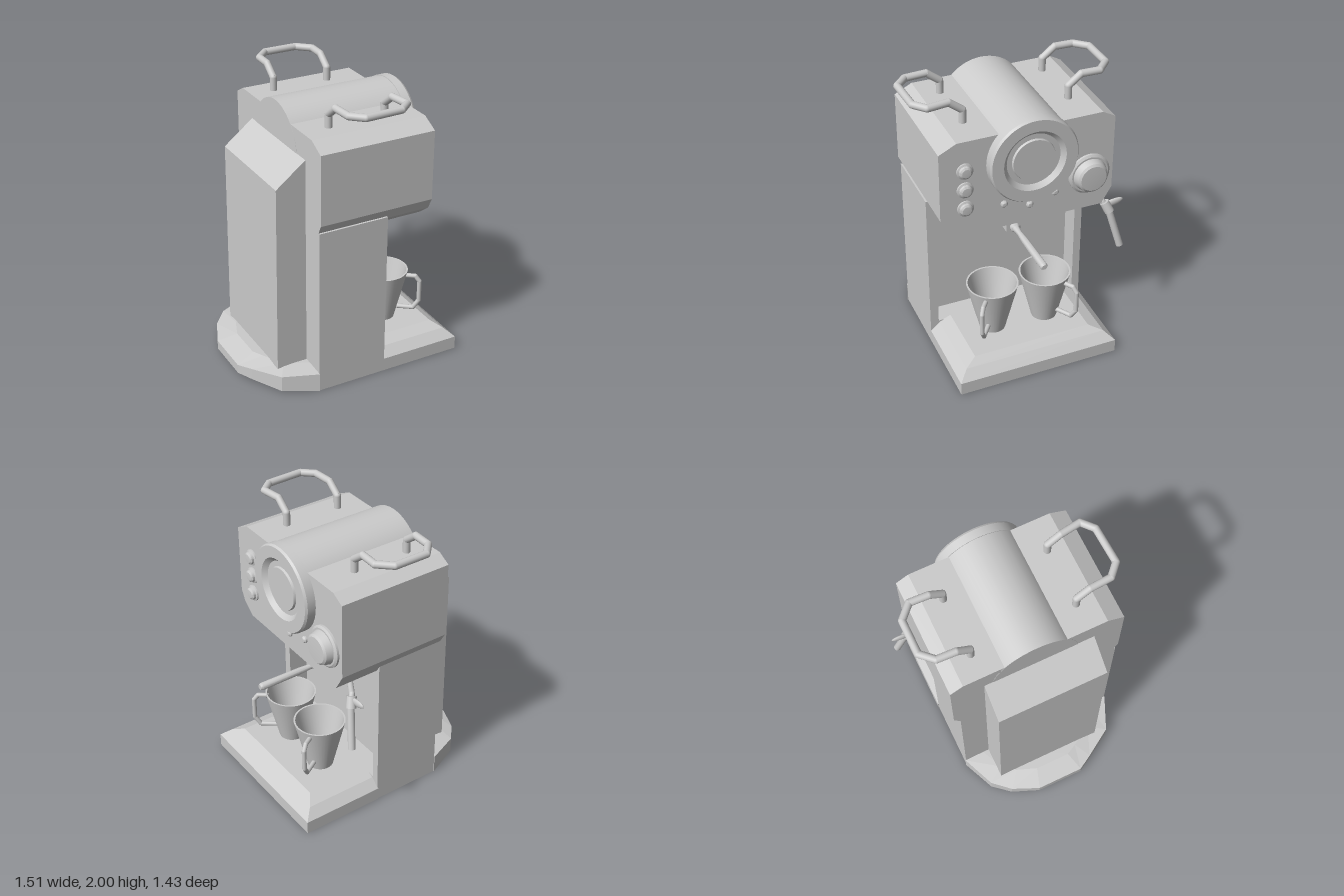
import * as THREE from 'three';
import { toCreasedNormals } from 'three/addons/utils/BufferGeometryUtils.js';

const grey = new THREE.MeshStandardMaterial({ color: 0xcccccc });
const greyDouble = new THREE.MeshStandardMaterial({ color: 0xcccccc, side: THREE.DoubleSide });
const V = (x, y, z) => new THREE.Vector3(x, y, z);

export function createModel() {
  const model = new THREE.Group();

  const add = (name, geo, parent = model, mat = grey) => {
    const mesh = new THREE.Mesh(geo, mat);
    mesh.name = name;
    parent.add(mesh);
    return mesh;
  };
  const box = (name, x0, x1, y0, y1, z0, z1) =>
    add(name, new THREE.BoxGeometry(x1 - x0, y1 - y0, z1 - z0))
      .position.set((x0 + x1) / 2, (y0 + y1) / 2, (z0 + z1) / 2);

  // Extrude a [z, y] outline along x
  const outline = (pts, C = THREE.Shape) => new C(pts.map(([z, y]) => new THREE.Vector2(-z, y)));
  const extrudeX = (name, pts, x0, x1, hole) => {
    const shape = outline(pts);
    if (hole) shape.holes.push(outline(hole, THREE.Path));
    const geo = new THREE.ExtrudeGeometry(shape, { depth: x1 - x0, bevelEnabled: false });
    geo.rotateY(Math.PI / 2).translate(x0, 0, 0);
    return add(name, geo);
  };

  // Revolve a [radius, x] profile about an axis along x
  const turnX = (name, profile, y, z, seg = 32) => {
    const geo = new THREE.LatheGeometry(profile.map(([r, h]) => new THREE.Vector2(r, h)), seg);
    geo.rotateZ(-Math.PI / 2);
    const mesh = add(name, toCreasedNormals(geo, 0.5));
    mesh.position.set(0, y, z);
    return mesh;
  };

  // Stack of closed rings with end caps, flat faces
  const loft = (name, rings) => {
    const n = rings[0].length, pos = [];
    const tri = (...ps) => ps.forEach(p => pos.push(...p));
    for (let k = 0; k + 1 < rings.length; k++) {
      const a = rings[k], b = rings[k + 1];
      for (let i = 0; i < n; i++) {
        const j = (i + 1) % n;
        tri(a[i], a[j], b[j]);
        tri(a[i], b[j], b[i]);
      }
    }
    const lo = rings[0], hi = rings[rings.length - 1];
    for (let i = 1; i + 1 < n; i++) {
      tri(hi[0], hi[i], hi[i + 1]);
      tri(lo[0], lo[i + 1], lo[i]);
    }
    const geo = new THREE.BufferGeometry();
    geo.setAttribute('position', new THREE.Float32BufferAttribute(pos, 3));
    geo.computeVertexNormals();
    return add(name, geo);
  };

  // Bent rod: straight pieces with rounded elbows
  const rod = (name, pts, r, parent = model) => {
    const g = new THREE.Group();
    g.name = name;
    parent.add(g);
    pts.forEach((p, i) => {
      if (i > 0 && i < pts.length - 1) add('elbow', new THREE.SphereGeometry(r, 14, 10), g).position.copy(p);
      if (i === 0) return;
      const d = p.clone().sub(pts[i - 1]);
      const m = add('rodPiece', new THREE.CylinderGeometry(r, r, d.length(), 14), g);
      m.position.copy(p).add(pts[i - 1]).multiplyScalar(0.5);
      m.quaternion.setFromUnitVectors(V(0, 1, 0), d.normalize());
    });
    return g;
  };

  // Column with a recessed bay
  box('columnBack', -0.34, 0.02, 0, 1.2, -0.545, 0.605);
  extrudeX('columnFrame', [[0.605, 0], [-0.545, 0], [-0.545, 1.2], [0.605, 1.2]], 0.02, 0.165,
    [[0.545, 0.17], [0.545, 1.06], [-0.49, 1.06], [-0.49, 0.17]]);

  // Head housing
  extrudeX('head', [[0.49, 1.11], [-0.52, 1.1], [-0.59, 1.22], [-0.59, 1.76], [-0.5, 1.81],
    [0.5, 1.81], [0.62, 1.75], [0.62, 1.26], [0.58, 1.18]], -0.34, 0.49);

  // Boiler drum with stepped dial on its end
  turnX('boilerDrum', [[0, -0.342], [0.3, -0.342], [0.3, 0.49], [0.305, 0.49], [0.305, 0.55], [0.295, 0.565],
    [0.215, 0.565], [0.185, 0.535], [0.15, 0.535], [0.145, 0.55], [0, 0.55]], 1.603, 0, 64);

  // Controls
  turnX('steamKnob', [[0.145, 0.48], [0.145, 0.505], [0.13, 0.515], [0.118, 0.515], [0.105, 0.56],
    [0.09, 0.572], [0, 0.576]], 1.37, -0.415, 40);
  for (const y of [1.6, 1.46, 1.32])
    turnX('button', [[0.056, 0.48], [0.056, 0.5], [0.044, 0.505], [0.042, 0.52], [0.03, 0.528], [0, 0.53]], y, 0.45);
  for (const [z, y] of [[0.185, 1.285], [-0.175, 1.285], [0.005, 1.235]])
    turnX('indicatorLight', [[0.024, 0.48], [0.024, 0.5], [0.014, 0.51], [0, 0.512]], y, z, 16);

  // Water tank on the rear
  const tank = new THREE.Shape([[-0.56, 0.1], [-0.3, 0.1], [-0.3, 1.64], [-0.34, 1.64], [-0.55, 1.475]]
    .map(p => new THREE.Vector2(...p)));
  add('waterTank', new THREE.ExtrudeGeometry(tank, { depth: 0.775, bevelEnabled: false })).position.z = -0.36;

  // Drip tray with stepped sloping rim
  const trayRing = (x, y, z0, z1) => [[x, y, z1], [x, y, z0], [0.16, y, z0], [0.16, y, z1]];
  loft('dripTray', [trayRing(0.755, 0, -0.55, 0.605), trayRing(0.755, 0.095, -0.55, 0.605),
    trayRing(0.69, 0.155, -0.485, 0.54), trayRing(0.63, 0.19, -0.395, 0.455)]);

  // Rounded rear foot
  const foot = [[-0.34, -0.55], [-0.575, -0.45], [-0.68, -0.33], [-0.76, -0.14],
    [-0.76, 0.2], [-0.7, 0.305], [-0.575, 0.505], [-0.34, 0.61]];
  const back = x => (-0.34 - x) / 0.42;
  loft('rearFoot', [
    foot.map(([x, z]) => [x, 0.035 * back(x) ** 2, z]),
    foot.map(([x, z]) => [x, 0.135 - 0.035 * back(x) ** 2, z]),
    foot.map(([x, z]) => [-0.34 + (x + 0.34) * 0.68, 0.143, 0.03 + (z - 0.03) * 0.75])]);

  // Top rails
  const rail = (pts, side) => {
    const heights = [1.97, 1.97, 1.97];
    const [a, b, c, d, e, f] = pts;
    const post = p => [V(p[0], 1.8, side * 0.37), V(p[0], 1.9, side * 0.37), V(p[0], 1.97, side * 0.46)];
    rod('topRail', [...post(a), ...[b, c, d, e].map(p => V(p[0], heights[0], p[1])), ...post(f).reverse()], 0.025);
  };
  rail([[-0.15], [-0.14, 0.61], [-0.06, 0.685], [0.2, 0.675], [0.28, 0.605], [0.26]], 1);
  rail([[-0.17], [-0.165, -0.59], [-0.085, -0.675], [0.155, -0.675], [0.245, -0.59], [0.24]], -1);

  // Brew group and filter handle
  extrudeX('brewBracket', [[0.33, 1.06], [0.33, 1.02], [0.165, 1.02], [0.165, 0.97], [0.135, 0.945],
    [-0.09, 0.945], [-0.12, 0.97], [-0.12, 1.02], [-0.27, 1.02], [-0.27, 1.06]], 0.02, 0.15);
  const collar = add('brewCollar', toCreasedNormals(new THREE.LatheGeometry([[0, 0.93], [0.05, 0.93], [0.062, 0.95],
    [0.06, 0.975], [0.04, 0.985], [0.035, 1.0], [0, 1.005]].map(p => new THREE.Vector2(...p)), 28), 0.6));
  collar.position.set(0.19, 0, 0.005);
  rod('brewPipe', [V(0.2, 0.99, 0.005), V(0.2, 1.015, 0.005), V(0.13, 1.03, 0.005)], 0.015);
  box('filterBlock', 0.13, 0.25, 0.865, 0.94, -0.06, 0.065);
  turnX('filterHandle', [[0, 0.24], [0.035, 0.24], [0.035, 0.27], [0.025, 0.28], [0.018, 0.34], [0.024, 0.43],
    [0.026, 0.73], [0.018, 0.745], [0, 0.745]], 0.895, 0.005, 20);

  // Steam wand with lever
  rod('steamPipe', [V(0.3, 1.13, -0.4), V(0.295, 1.06, -0.41), V(0.33, 1.035, -0.45),
    V(0.405, 1.05, -0.575), V(0.44, 0.98, -0.612)], 0.02);
  rod('steamJoint', [V(0.415, 1.045, -0.585), V(0.44, 0.975, -0.615)], 0.034);
  rod('steamNozzle', [V(0.44, 0.98, -0.612), V(0.485, 0.705, -0.685)], 0.025);
  const lever = add('steamLever', new THREE.SphereGeometry(1, 16, 10));
  lever.scale.set(0.014, 0.026, 0.075);
  lever.position.set(0.42, 1.03, -0.65);
  lever.rotation.x = 0.15;

  // Cups with angular handles
  const cupProfile = [[0, 0.19], [0.09, 0.19], [0.18, 0.565], [0.168, 0.565], [0.085, 0.215], [0, 0.215]]
    .map(p => new THREE.Vector2(...p));
  for (const [x, z, angle] of [[0.37, 0.22, -0.65], [0.385, -0.165, 0.56]]) {
    const cup = new THREE.Group();
    cup.name = 'cup';
    cup.position.set(x, 0, z);
    cup.rotation.y = angle;
    add('cupBody', toCreasedNormals(new THREE.LatheGeometry(cupProfile, 40), 0.6), cup, greyDouble);
    rod('cupHandle', [[0.16, 0.525], [0.235, 0.525], [0.265, 0.485], [0.265, 0.33], [0.225, 0.268], [0.1, 0.268]]
      .map(([r, y]) => V(r, y, 0)), 0.016, cup);
    model.add(cup);
  }

  return model;
}
